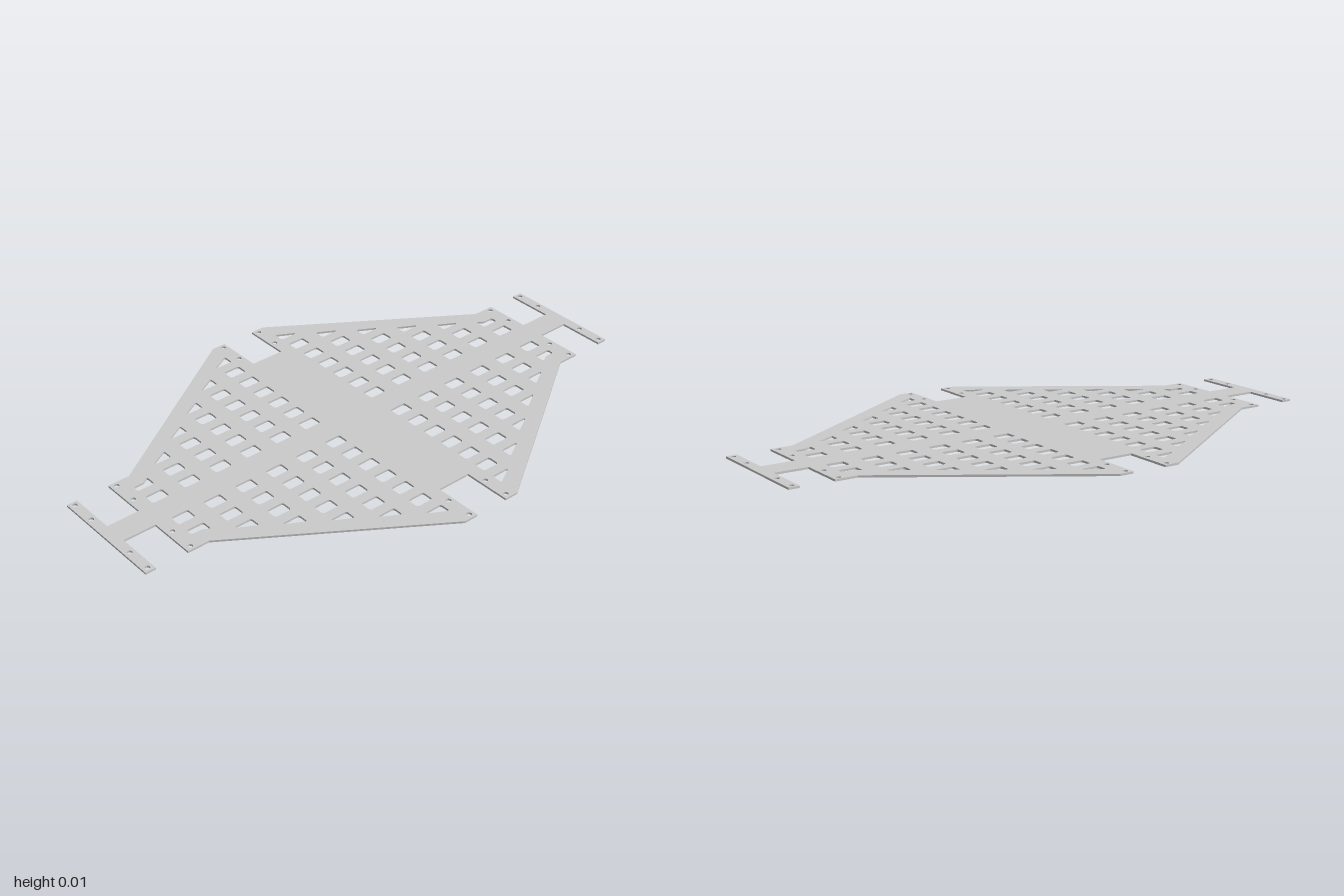
import * as THREE from 'three';

const THICKNESS = 0.007;
const SLOPE = 0.665; // change of x per unit of z along the tapered sides

// Mirrors a quarter list of [x, z] points into a closed four-way symmetric outline
function mirrorOutline(quarter) {
  const back = [...quarter].reverse();
  return [
    ...quarter,
    ...back.map(([x, z]) => [-x, z]),
    ...quarter.map(([x, z]) => [-x, -z]),
    ...back.map(([x, z]) => [x, -z]),
  ];
}

// Closed path with softened corners
function roundedPath(points, radius) {
  const path = new THREE.Path();
  const v = points.map(([x, y]) => new THREE.Vector2(x, y));
  v.forEach((p, i) => {
    const toward = (q) => p.clone().lerp(q, Math.min(0.45, radius / p.distanceTo(q)));
    const a = toward(v[(i + v.length - 1) % v.length]);
    const b = toward(v[(i + 1) % v.length]);
    if (i === 0) path.moveTo(a.x, a.y);
    else path.lineTo(a.x, a.y);
    path.quadraticCurveTo(p.x, p.y, b.x, b.y);
  });
  path.closePath();
  return path;
}

function roundHole(x, z, r) {
  const path = new THREE.Path();
  path.absarc(x, z, r, 0, Math.PI * 2, true);
  return path;
}

export function createModel() {
  const group = new THREE.Group();
  group.name = 'perforatedPlate';

  // Outline, counter-clockwise: side notches, tapered body, necks and end bars
  const outline = mirrorOutline([
    [0.48, 0.062], [0.651, 0.062], [0.651, 0.113], [0.215, 0.768], [0.215, 0.846],
    [0.045, 0.846], [0.045, 0.963], [0.215, 0.963], [0.215, 1],
  ]);
  const shape = new THREE.Shape(outline.map(([x, z]) => new THREE.Vector2(x, z)));

  // Limit of the window grid, parallel to the tapered sides
  const limit = (z) => Math.max(0.156, 0.581 - (z - 0.113) * SLOPE);
  const bend = 0.113 + (0.581 - 0.156) / SLOPE;

  for (const sx of [-1, 1]) {
    for (const sz of [-1, 1]) {
      // Window grid, cut off along the slanted limit
      for (let row = 0; row < 6; row++) {
        const z0 = 0.113 + row * 0.123;
        const z1 = z0 + 0.063;
        for (let x0 = 0.048; limit(z0) - x0 > 0.02; x0 += 0.082) {
          const x1 = x0 + 0.044;
          const points = [[x0, z0], [Math.min(x1, limit(z0)), z0]];
          if (x1 > limit(z1) && bend < z1) points.push([limit(bend), bend]);
          points.push([Math.min(x1, Math.max(limit(z1), x0 + 0.006)), z1], [x0, z1]);
          shape.holes.push(roundedPath(points.map(([x, z]) => [x * sx, z * sz]), 0.009));
        }
      }
      // Bolt holes in the bars and beside the notches
      for (const [x, z] of [
        [0.105, 0.982], [0.198, 0.982], [0.105, 0.826], [0.198, 0.826],
        [0.541, 0.08], [0.633, 0.08],
      ]) shape.holes.push(roundHole(x * sx, z * sz, 0.009));
    }
  }

  const geometry = new THREE.ExtrudeGeometry(shape, {
    depth: THICKNESS, bevelEnabled: false, curveSegments: 6,
  });
  geometry.rotateX(-Math.PI / 2);

  const plate = new THREE.Mesh(geometry, new THREE.MeshStandardMaterial({ color: 0xcccccc }));
  plate.name = 'plate';
  group.add(plate);
  return group;
}
